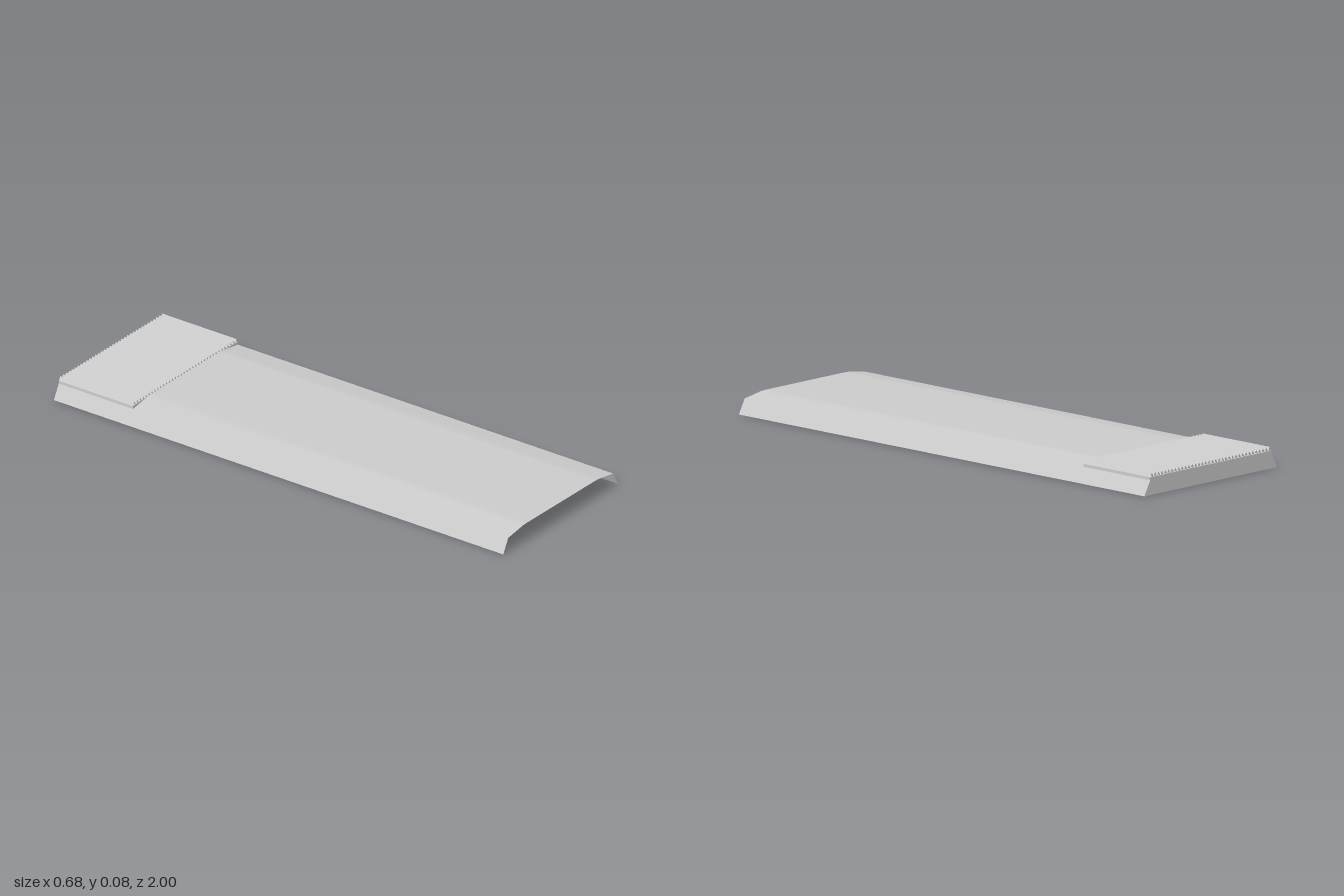
import * as THREE from 'three';

const material = new THREE.MeshStandardMaterial({ color: 0xcccccc, side: THREE.DoubleSide });

const BACK = -1, STEP = -0.67, FRONT = 1;
const RIM = 0.342, EDGE = 0.312, SHOULDER = 0.225; // half widths
const EDGE_Y = 0.054, ROOF_Y = 0.069, VALLEY_Y = 0.065, PEAK_Y = 0.08;

// Sheet swept along z from a left-to-right line of [x, y] points
function sweep(name, points, z0, z1, smooth = false) {
  const positions = [], index = [];
  for (const [x, y] of points) positions.push(x, y, z0, x, y, z1);
  for (let i = 0; i < points.length - 1; i++) {
    const a = i * 2;
    index.push(a, a + 1, a + 3, a, a + 3, a + 2);
  }
  let geometry = new THREE.BufferGeometry();
  geometry.setAttribute('position', new THREE.Float32BufferAttribute(positions, 3));
  geometry.setIndex(index);
  if (!smooth) geometry = geometry.toNonIndexed();
  geometry.computeVertexNormals();
  return named(name, geometry);
}

// Flat upright panel at a given z, facing the front or the back
function panel(name, points, z, facesBack) {
  const sign = facesBack ? -1 : 1;
  const shape = new THREE.Shape(points.map(([x, y]) => new THREE.Vector2(x * sign, y)));
  const geometry = new THREE.ShapeGeometry(shape);
  if (facesBack) geometry.rotateY(Math.PI);
  geometry.translate(0, 0, z);
  return named(name, geometry);
}

function named(name, geometry) {
  const mesh = new THREE.Mesh(geometry, material);
  mesh.name = name;
  return mesh;
}

export function createModel() {
  const model = new THREE.Group();
  model.name = 'slidingCover';

  // Shallow arched roof, open at the front
  const arch = [[-EDGE, EDGE_Y], [-SHOULDER, ROOF_Y - 0.001], [-0.2, ROOF_Y],
    [0.2, ROOF_Y], [SHOULDER, ROOF_Y - 0.001], [EDGE, EDGE_Y]];
  model.add(sweep('roof', arch, STEP, FRONT, true));

  // Sloping side walls
  model.add(sweep('rightWall', [[-RIM, 0], [-EDGE, EDGE_Y]], BACK, FRONT));
  model.add(sweep('leftWall', [[EDGE, EDGE_Y], [RIM, 0]], BACK, FRONT));

  // Closed back end
  model.add(panel('backWall', [[-RIM, 0], [RIM, 0], [EDGE, EDGE_Y], [EDGE, VALLEY_Y],
    [-EDGE, VALLEY_Y], [-EDGE, EDGE_Y]], BACK, true));

  // Flat floor beneath the grip, and the step closing it off from the roof
  model.add(sweep('gripFloor', [[-EDGE, EDGE_Y], [EDGE, EDGE_Y]], BACK, STEP));
  model.add(panel('gripStep', [[-EDGE, EDGE_Y], [EDGE, EDGE_Y], [EDGE, VALLEY_Y],
    [SHOULDER, ROOF_Y - 0.001], [-SHOULDER, ROOF_Y - 0.001], [-EDGE, VALLEY_Y]], STEP, false));

  // Ribbed grip: a row of sharp ridges between two low side faces
  const ribs = 36, pitch = (2 * EDGE) / ribs;
  const ridge = [[-EDGE, EDGE_Y], [-EDGE, VALLEY_Y]];
  for (let i = 0; i < ribs; i++) {
    const x = -EDGE + i * pitch;
    ridge.push([x + pitch / 2, PEAK_Y], [x + pitch, VALLEY_Y]);
  }
  ridge.push([EDGE, EDGE_Y]);
  model.add(sweep('gripRibs', ridge, BACK, STEP));

  return model;
}
